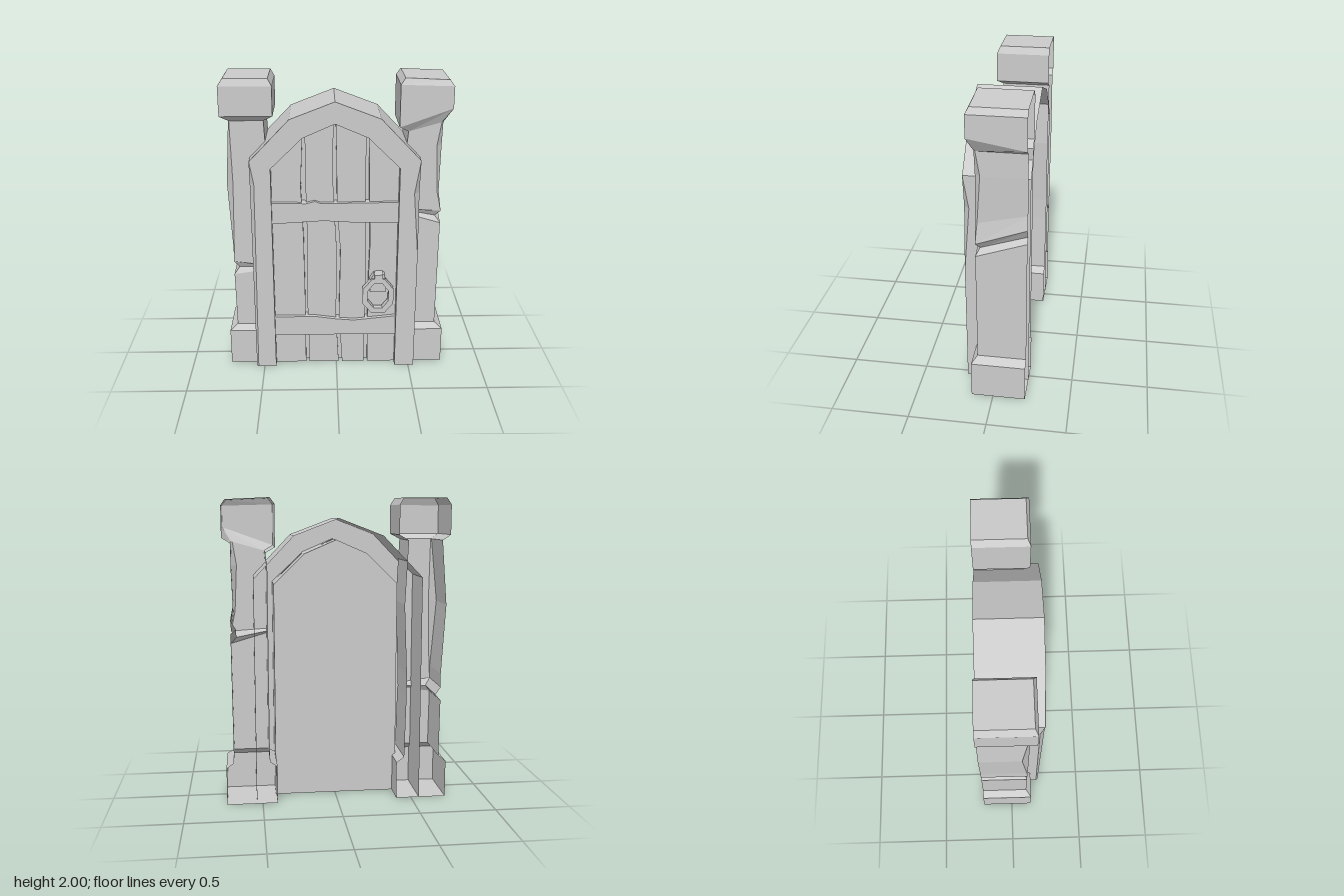
import * as THREE from 'three';

const BACK = -0.21;
const stone = new THREE.MeshStandardMaterial({ color: 0xcccccc, flatShading: true, side: THREE.DoubleSide });

function addMesh(parent, name, geometry) {
  const m = new THREE.Mesh(geometry, stone);
  m.name = name;
  parent.add(m);
  return m;
}

// Surface through rows of points, flat shaded
function skin(rows, flip) {
  const pos = [];
  for (let i = 0; i < rows.length - 1; i++) {
    for (let j = 0; j < rows[i].length - 1; j++) {
      const a = rows[i][j], b = rows[i][j + 1], c = rows[i + 1][j], d = rows[i + 1][j + 1];
      const tris = flip ? [a, b, c, b, d, c] : [a, c, b, b, c, d];
      tris.forEach(p => pos.push(...p));
    }
  }
  const g = new THREE.BufferGeometry();
  g.setAttribute('position', new THREE.Float32BufferAttribute(pos, 3));
  g.computeVertexNormals();
  return g;
}

// Flat outline given thickness from z0 to z1
function slab(points, z0, z1, hole) {
  const shape = new THREE.Shape(points.map(p => new THREE.Vector2(...p)));
  if (hole) shape.holes.push(new THREE.Path(hole.map(p => new THREE.Vector2(...p))));
  const g = new THREE.ExtrudeGeometry(shape, { depth: z1 - z0, bevelEnabled: false });
  return g.translate(0, 0, z0);
}

// Open-backed pillar. Each level: outer x, inner x, front z, corner chamfer,
// then y at outer back, outer front, inner front, inner back
function pillar(side, shaft, cap) {
  const base = [
    [0.735, 0.40, BACK, 0, 0, 0, 0, 0],
    [0.735, 0.40, 0.14, 0, 0, 0, 0, 0],
    [0.735, 0.40, 0.14, 0, 0.248, 0.248, 0.248, 0.248],
    [0.685, 0.45, 0.105, 0, 0.285, 0.285, 0.285, 0.285],
  ];
  const rows = [...base, ...shaft, ...cap].map(([xo, xi, z, c, ob, of, inf, ib]) => [
    [side * xo, ob, BACK],
    [side * xo, of, z - c],
    [side * (xo - c), of, z],
    [side * xi, inf, z],
    [side * xi, ib, BACK],
  ]);
  return skin(rows, side < 0);
}

const rightShaft = [
  [0.69, 0.46, 0.105, 0, 0.67, 0.665, 0.70, 0.70],
  [0.655, 0.46, 0.08, 0, 0.71, 0.71, 0.71, 0.71],
  [0.69, 0.46, 0.105, 0, 0.76, 0.76, 0.73, 0.73],
  [0.688, 0.46, 0.105, 0.005, 0.85, 0.85, 0.85, 0.85],
  [0.715, 0.44, 0.105, 0.045, 1.31, 1.31, 1.31, 1.31],
  [0.682, 0.46, 0.105, 0.005, 1.73, 1.73, 1.73, 1.73],
];
const rightCap = [
  [0.735, 0.40, 0.14, 0, 1.765, 1.765, 1.765, 1.765],
  [0.735, 0.40, 0.14, 0, 1.955, 1.955, 1.955, 1.955],
  [0.705, 0.425, 0.12, 0, 2, 2, 2, 2],
  [0.705, 0.425, BACK, 0, 2, 2, 2, 2],
];
const leftShaft = [
  [0.69, 0.45, 0.105, 0, 1.14, 1.03, 1.10, 1.12],
  [0.655, 0.45, 0.08, 0, 1.17, 1.075, 1.115, 1.14],
  [0.69, 0.45, 0.105, 0, 1.23, 1.115, 1.13, 1.16],
  [0.672, 0.45, 0.105, 0.012, 1.32, 1.25, 1.25, 1.25],
  [0.68, 0.45, 0.105, 0.035, 1.56, 1.56, 1.54, 1.54],
  [0.68, 0.46, 0.105, 0.01, 1.715, 1.715, 1.655, 1.655],
];
const leftCap = [
  [0.735, 0.40, 0.14, 0, 1.75, 1.81, 1.69, 1.69],
  [0.735, 0.40, 0.14, 0, 1.95, 1.95, 1.96, 1.96],
  [0.708, 0.43, 0.12, 0, 1.987, 1.987, 2, 2],
  [0.708, 0.43, BACK, 0, 1.987, 1.987, 2, 2],
];

// Frame stations: outer x, outer y, inner x, inner y, edge chamfer
const frameStations = [
  [-0.555, 0, -0.42, 0, 0.012],
  [-0.555, 0.8, -0.42, 0.8, 0.022],
  [-0.555, 1.34, -0.42, 1.3, 0.028],
  [-0.555, 1.49, -0.42, 1.44, 0.002],
  [-0.295, 1.76, -0.215, 1.64, 0],
  [-0.01, 1.87, -0.01, 1.73, 0],
  [0.28, 1.76, 0.20, 1.64, 0],
  [0.537, 1.49, 0.405, 1.44, 0],
  [0.537, 1.27, 0.405, 1.27, 0.036],
  [0.537, 0.83, 0.405, 0.83, 0],
  [0.537, 0, 0.405, 0, 0],
];
const PANEL_BACK = -0.04, PANEL_FRONT = 0.105, PLANK_FRONT = 0.145;

// Seams between planks, from bottom to top: x, y, half gap width
const seams = [
  [[-0.42, 0, 0], [-0.42, 1.44, 0]],
  [[-0.20, 0, 0.012], [-0.205, 0.5, 0.007], [-0.205, 0.95, 0.012], [-0.215, 1.3, 0.016], [-0.208, 1.64, 0.008]],
  [[0.028, 0, 0.012], [0.008, 0.35, 0.01], [0.015, 0.85, 0.012], [-0.005, 1.15, 0.009], [-0.012, 1.45, 0.014], [-0.01, 1.73, 0.006]],
  [[0.205, 0, 0.012], [0.205, 0.5, 0.008], [0.21, 0.9, 0.014], [0.20, 1.35, 0.013], [0.20, 1.64, 0.007]],
  [[0.405, 0, 0], [0.405, 1.44, 0]],
];

const ovalRing = (cx, cy, rx, ry) => Array.from({ length: 8 }, (_, i) => {
  const a = (i + 0.5) * Math.PI / 4;
  return [cx + rx * Math.cos(a), cy + ry * Math.sin(a)];
});

export function createModel() {
  const model = new THREE.Group();
  model.name = 'archedDoor';

  // Stone pillars
  addMesh(model, 'rightPillar', pillar(-1, rightShaft, rightCap));
  addMesh(model, 'leftPillar', pillar(1, leftShaft, leftCap));

  // Arched frame, hollow behind its front face
  const frameRows = frameStations.map(([ox, oy, ix, iy, c]) => [
    [ox, oy, BACK],
    [ox, oy, 0.203 - c],
    [ox - Math.sign(ox) * c, oy, 0.203],
    [ix, iy, 0.203],
    [ix, iy, PANEL_BACK],
  ]);
  addMesh(model, 'doorFrame', skin(frameRows, true));

  // Door: backing panel and planks
  const door = new THREE.Group();
  door.name = 'door';
  model.add(door);
  const opening = frameStations.map(s => [s[2], s[3]]);
  addMesh(door, 'backingPanel', slab(opening, PANEL_BACK, PANEL_FRONT));
  for (let i = 0; i < seams.length - 1; i++) {
    const left = seams[i].map(([x, y, w]) => [x + w, y]);
    const right = seams[i + 1].map(([x, y, w]) => [x - w, y]);
    addMesh(door, 'plank' + (i + 1), slab([...right, ...left.reverse()], PANEL_FRONT, PLANK_FRONT));
  }

  // Cross straps
  addMesh(door, 'upperStrap', slab([
    [-0.42, 1.055], [-0.08, 1.075], [0.06, 1.065], [0.405, 1.055], [0.405, 1.2],
    [-0.10, 1.195], [-0.14, 1.21], [-0.20, 1.195], [-0.42, 1.2],
  ], PANEL_FRONT, 0.172));
  addMesh(door, 'lowerStrap', slab([
    [-0.42, 0.23], [0.405, 0.23], [0.405, 0.37], [0.12, 0.34], [0, 0.35], [-0.14, 0.37], [-0.42, 0.37],
  ], PANEL_FRONT, 0.172));

  // Ring handle and its mount
  const handle = new THREE.Group();
  handle.name = 'handle';
  door.add(handle);
  addMesh(handle, 'handleRing', slab(ovalRing(0.28, 0.54, 0.112, 0.137), 0.165, 0.213,
    ovalRing(0.28, 0.543, 0.075, 0.098)));
  addMesh(handle, 'handleMount', slab([
    [0.225, 0.565], [0.33, 0.565], [0.33, 0.655], [0.322, 0.695], [0.25, 0.695], [0.225, 0.655],
  ], PLANK_FRONT, 0.195));
  addMesh(handle, 'handleClasp', slab([
    [0.255, 0.64], [0.31, 0.64], [0.31, 0.70], [0.255, 0.70],
  ], PLANK_FRONT, 0.216));

  return model;
}
